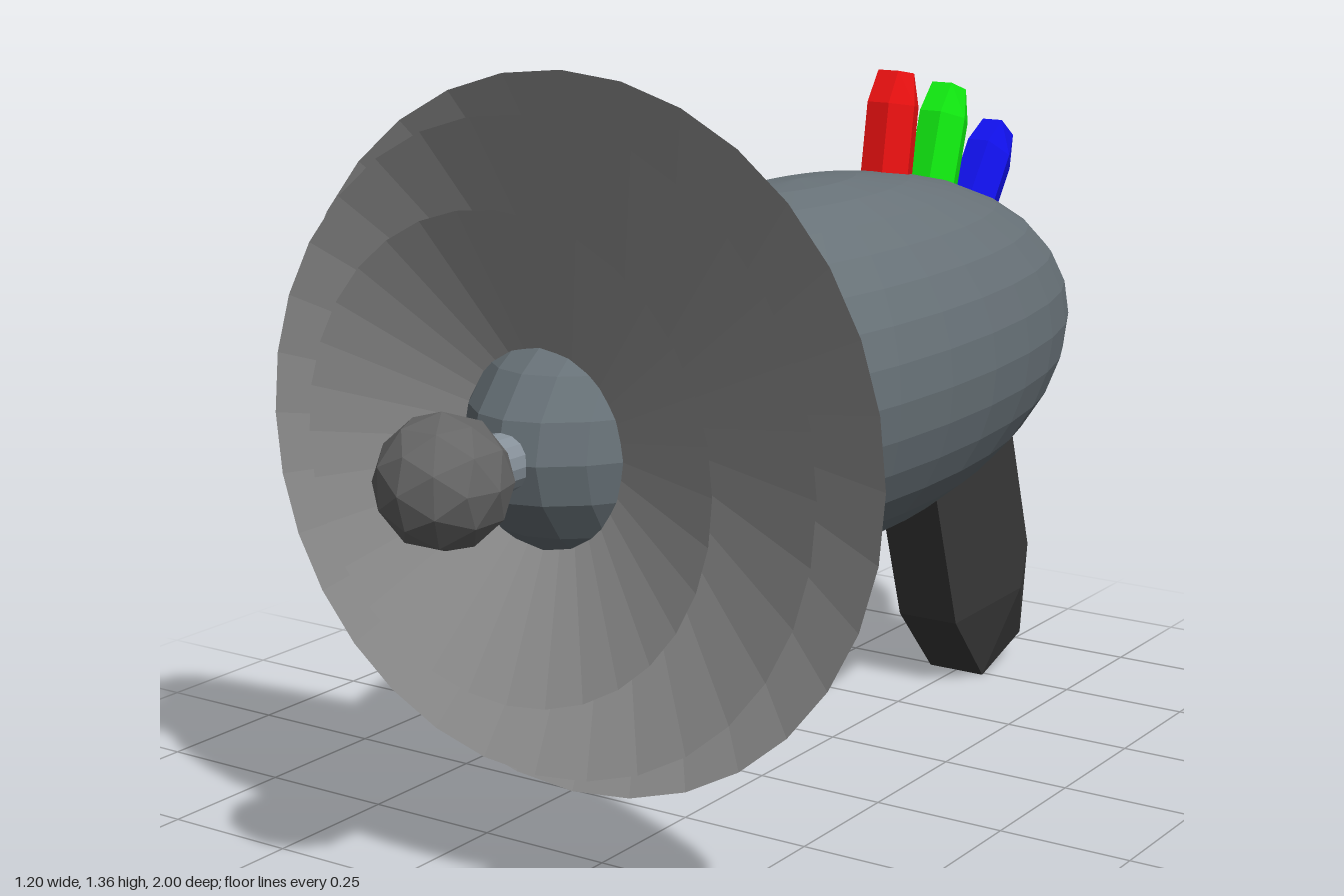
import * as THREE from 'three';
import { ConvexGeometry } from 'three/addons/geometries/ConvexGeometry.js';

const AXIS_Y = 0.755; // height of the barrel axis

function part(name, geometry, color, side = THREE.FrontSide) {
  const material = new THREE.MeshStandardMaterial({ color, flatShading: true, side });
  const mesh = new THREE.Mesh(geometry, material);
  mesh.name = name;
  return mesh;
}

// Hexagonal prism hanging below its origin, tapering to a rectangular tip at y = 0
function taperedPrism(rx, rz, taper, length) {
  const points = [];
  for (let i = 0; i < 6; i++) {
    const a = (i * Math.PI) / 3;
    const x = rx * Math.cos(a);
    const z = (rz * Math.sin(a)) / Math.sin(Math.PI / 3);
    points.push(new THREE.Vector3(x, -taper, z), new THREE.Vector3(x, -length, z));
  }
  for (const sx of [-1, 1]) {
    for (const sz of [-1, 1]) points.push(new THREE.Vector3(sx * rx * 0.47, 0, sz * rz * 0.53));
  }
  return new ConvexGeometry(points);
}

export function createModel() {
  const model = new THREE.Group();
  model.name = 'rayBlaster';

  // Long egg-shaped body
  const body = part('body', new THREE.SphereGeometry(1, 32, 16), 0x687278);
  body.scale.set(0.325, 0.345, 0.88);
  body.position.set(0, AXIS_Y, -0.12);
  model.add(body);

  // Three nested open dishes, flaring forward
  const dishes = [[0.6, 0.58], [0.54, 0.68], [0.4, 0.75]];
  dishes.forEach(([radius, rimZ], i) => {
    const depth = radius / 2.25;
    const geometry = new THREE.ConeGeometry(radius, depth, 32, 1, true);
    geometry.rotateX(-Math.PI / 2);
    const dish = part(`dish${i + 1}`, geometry, 0x999999, THREE.DoubleSide);
    dish.position.set(0, AXIS_Y, rimZ - depth / 2);
    model.add(dish);
  });

  // Emitter rod and faceted ball at the muzzle
  const rod = part('emitterRod', new THREE.CylinderGeometry(0.048, 0.048, 0.25, 16).rotateX(Math.PI / 2), 0x87919a);
  rod.position.set(0, AXIS_Y, 0.7);
  const ball = part('emitterBall', new THREE.IcosahedronGeometry(0.11, 1), 0x666666);
  ball.position.set(0, AXIS_Y, 0.89);
  model.add(rod, ball);

  // Grip slanting down and back
  const handle = part('handle', taperedPrism(0.13, 0.16, 0.174, 0.6), 0x3a3a3a);
  handle.position.set(0, 0.025, -0.82);
  handle.rotation.x = -2.838;
  model.add(handle);

  // Coloured knobs fanned along the top: tip height, tip z, backward tilt
  const knobs = [
    ['redKnob', 0xee1111, 1.262, -0.465, 0.17],
    ['greenKnob', 0x11ee11, 1.217, -0.67, 0.31],
    ['blueKnob', 0x1111ee, 1.115, -0.875, 0.62],
  ];
  for (const [name, color, y, z, tilt] of knobs) {
    const knob = part(name, taperedPrism(0.046, 0.057, 0.062, 0.3), color);
    knob.position.set(0, y, z);
    knob.rotation.x = -tilt;
    model.add(knob);
  }

  return model;
}
